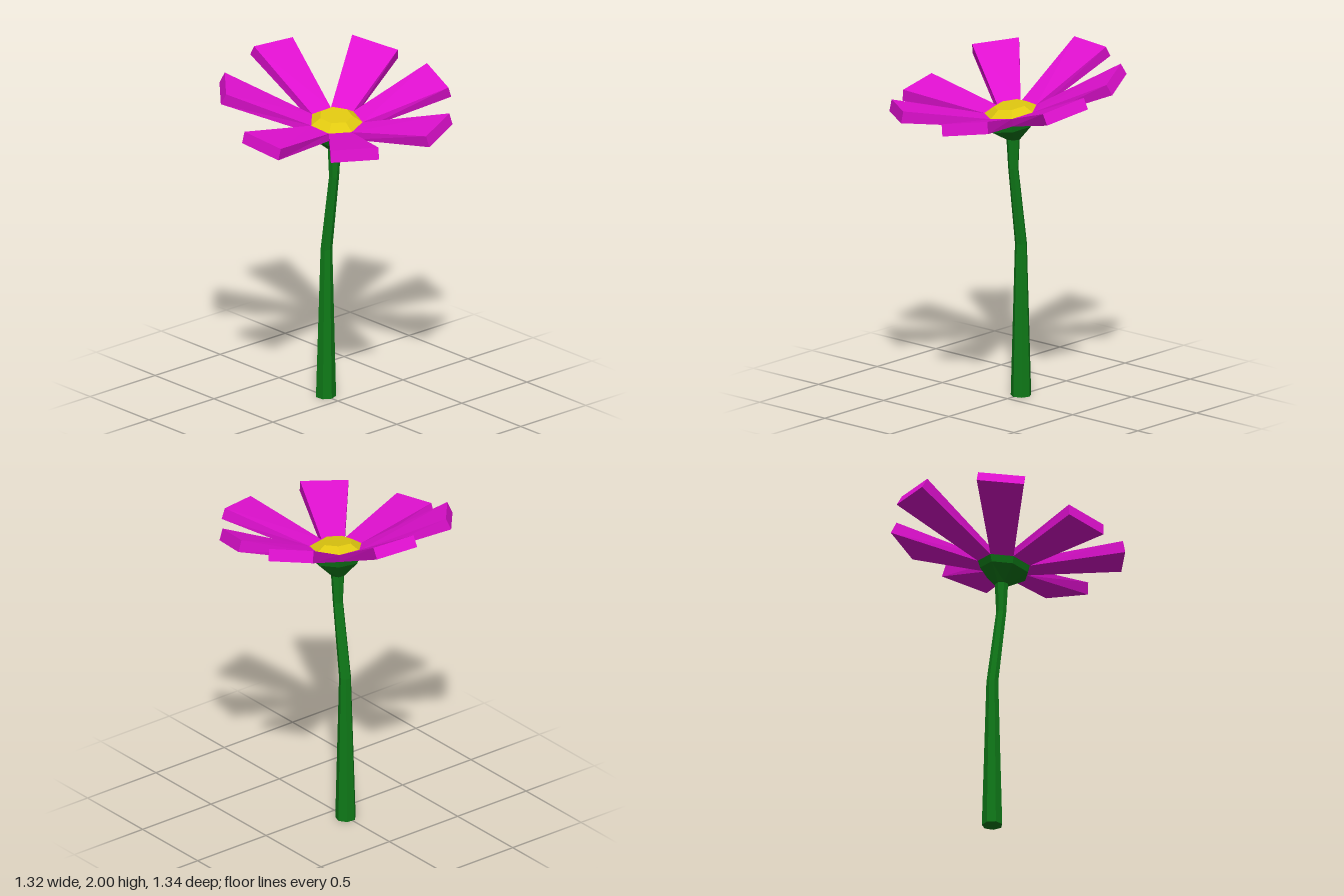
import * as THREE from 'three';

const SIDES = 7;
const v = (x, y, z) => new THREE.Vector3(x, y, z);
const material = (color) => new THREE.MeshStandardMaterial({ color, flatShading: true });

// Skin a series of point loops and close both ends with fans
function loft(name, loops, mat) {
  const pos = [];
  const tri = (...pts) => pts.forEach((p) => pos.push(p.x, p.y, p.z));
  const n = loops[0].length;
  const middle = (loop) => loop.reduce((s, p) => s.add(p), v(0, 0, 0)).divideScalar(n);
  const first = loops[0];
  const last = loops[loops.length - 1];
  const c0 = middle(first);
  const c1 = middle(last);
  for (let k = 0; k < n; k++) {
    const j = (k + 1) % n;
    for (let i = 0; i < loops.length - 1; i++) {
      const lo = loops[i];
      const hi = loops[i + 1];
      tri(lo[k], hi[k], hi[j]);
      tri(lo[k], hi[j], lo[j]);
    }
    tri(c0, first[k], first[j]);
    tri(c1, last[j], last[k]);
  }
  const geo = new THREE.BufferGeometry();
  geo.setAttribute('position', new THREE.Float32BufferAttribute(pos, 3));
  geo.computeVertexNormals();
  const mesh = new THREE.Mesh(geo, mat);
  mesh.name = name;
  return mesh;
}

// Seven-sided ring, optionally tilted by slopes along x and z
function ring(cx, cy, cz, r, slopeX = 0, slopeZ = 0) {
  return Array.from({ length: SIDES }, (_, k) => {
    const a = THREE.MathUtils.degToRad(-7) + (k * Math.PI * 2) / SIDES;
    const dx = r * Math.cos(a);
    const dz = r * Math.sin(a);
    return v(cx + dx, cy + dx * slopeX + dz * slopeZ, cz + dz);
  });
}

// Ring of the flower head, at height h above the tilted rim
const headRing = (h, r) => ring(0.004, 1.657 + h, -0.022, r, 0.08, -0.13);

export function createModel() {
  const group = new THREE.Group();
  const green = material(0x0f7a18);
  const yellow = material(0xe0c810);
  const magenta = material(0xe010d0);

  // Bent, tapering stem
  group.add(loft('stem', [
    ring(0.005, 0, -0.11, 0.06),
    ring(0.007, 0.9, -0.107, 0.035),
    ring(0.007, 1.36, -0.042, 0.03),
    ring(0.007, 1.55, -0.04, 0.04),
  ], green));

  // Green cup under the petals
  group.add(loft('calyx', [
    ring(0.007, 1.535, -0.04, 0.045),
    headRing(-0.04, 0.14),
    headRing(0, 0.153),
  ], green));

  // Low faceted centre
  group.add(loft('flowerCentre', [
    headRing(0, 0.153),
    headRing(0.045, 0.153),
    headRing(0.08, 0.096),
  ], yellow));

  // Petals: each grows from one side of the head to two upper tip corners
  const tips = [
    [v(0.635, 1.915, 0.055), v(0.56, 1.86, 0.32)],
    [v(0.35, 1.825, 0.56), v(0.085, 1.78, 0.655)],
    [v(-0.245, 1.785, 0.615), v(-0.475, 1.78, 0.46)],
    [v(-0.62, 1.755, 0.2), v(-0.65, 1.79, -0.075)],
    [v(-0.565, 1.925, -0.325), v(-0.39, 1.955, -0.53)],
    [v(-0.065, 2.0, -0.64), v(0.205, 1.995, -0.61)],
    [v(0.49, 1.99, -0.42), v(0.61, 1.94, -0.165)],
  ];
  const lower = headRing(0, 0.153);
  const upper = headRing(0.045, 0.153);
  const petals = new THREE.Group();
  petals.name = 'petals';
  tips.forEach(([a, b], k) => {
    const j = (k + 1) % SIDES;
    const along = a.clone().add(b).sub(upper[k]).sub(upper[j]);
    const down = b.clone().sub(a).cross(along).normalize().multiplyScalar(0.07);
    if (down.y > 0) down.negate();
    petals.add(loft('petal', [
      [upper[j], upper[k], lower[k], lower[j]],
      [b, a, a.clone().add(down), b.clone().add(down)],
    ], magenta));
  });
  group.add(petals);
  return group;
}
